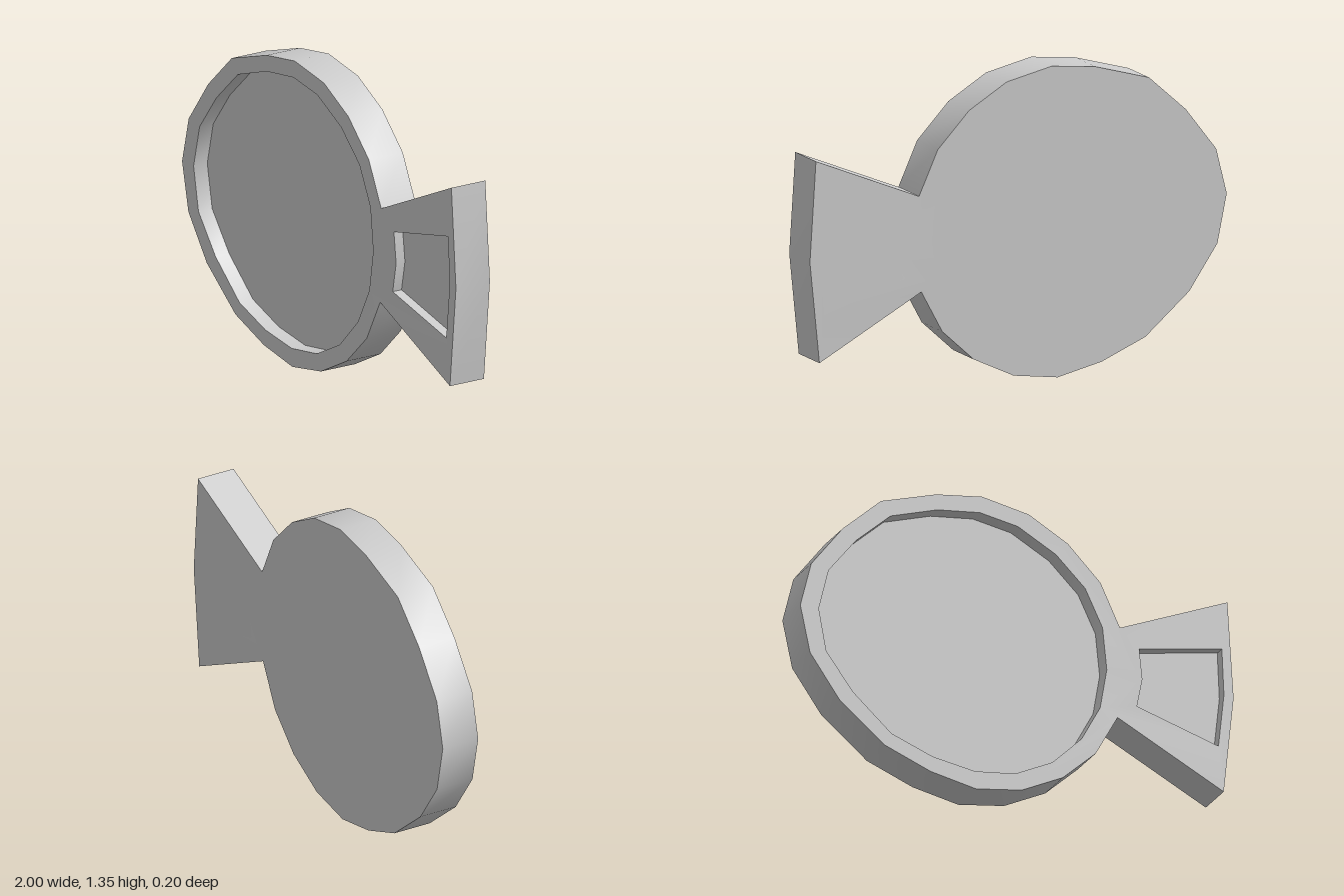
import * as THREE from 'three';
import { toCreasedNormals } from 'three/addons/utils/BufferGeometryUtils.js';

const BACK = -0.087, FRONT = 0.087;
const material = new THREE.MeshStandardMaterial({ color: 0xcccccc });

// Fish silhouette: rounded body, then the flared tail
const outline = [
  [0.47, 0.87], [0.38, 1.06], [0.23, 1.21], [0.05, 1.31], [-0.165, 1.35],
  [-0.375, 1.32], [-0.63, 1.24], [-0.805, 1.08], [-0.95, 0.89], [-1, 0.69],
  [-0.955, 0.48], [-0.82, 0.29], [-0.61, 0.12], [-0.4, 0.04], [-0.19, 0],
  [0.02, 0.035], [0.21, 0.13], [0.36, 0.27], [0.46, 0.455],
  [0.955, 0.215], [1, 0.655], [0.97, 1.09],
];
const bodyRecess = [
  [-0.175, 1.275], [-0.37, 1.25], [-0.585, 1.18], [-0.745, 1.035], [-0.87, 0.875],
  [-0.915, 0.69], [-0.88, 0.5], [-0.755, 0.335], [-0.58, 0.18], [-0.39, 0.11],
  [-0.195, 0.08], [-0.01, 0.105], [0.16, 0.19], [0.295, 0.325], [0.38, 0.485],
  [0.41, 0.665], [0.39, 0.855], [0.31, 1.02], [0.175, 1.15], [0, 1.245],
];
const tailRecess = [
  [0.56, 0.79], [0.575, 0.655], [0.55, 0.525], [0.93, 0.42], [0.955, 0.66], [0.945, 0.87],
];

const toPoints = (list) => list.map(([x, y]) => new THREE.Vector2(x, y));

// Slight lean of the body, bending back again along the tail
function bend(geometry) {
  const p = geometry.attributes.position;
  for (let i = 0; i < p.count; i++) {
    const x = p.getX(i), y = p.getY(i);
    const lean = 0.008 + (x < 0.465 ? 0.0148 : -0.012) * (x - 0.465) + 0.004 * (y - 0.67);
    p.setZ(i, p.getZ(i) + lean);
  }
  return toCreasedNormals(geometry, 0.52);
}

function addPart(group, name, geometry) {
  const mesh = new THREE.Mesh(bend(geometry), material);
  mesh.name = name;
  group.add(mesh);
}

// Flat sheet closing a recess at depth z, facing front or back
function sheet(points, z, facesBack) {
  const geometry = new THREE.ShapeGeometry(new THREE.Shape(toPoints(points)));
  if (facesBack) geometry.index.array.reverse();
  return geometry.translate(0, 0, z);
}

export function createModel() {
  const group = new THREE.Group();
  group.name = 'fishDish';

  // Rim and side walls, open where the two recesses are
  const shape = new THREE.Shape(toPoints(outline));
  for (const hole of [bodyRecess, tailRecess]) shape.holes.push(new THREE.Path(toPoints(hole)));
  const rim = new THREE.ExtrudeGeometry(shape, { depth: FRONT - BACK, bevelEnabled: false });
  addPart(group, 'rim', rim.translate(0, 0, BACK));

  // Recess floors and the matching back panels
  for (const [name, points, depth] of [['body', bodyRecess, 0.07], ['tail', tailRecess, 0.045]]) {
    addPart(group, name + 'Floor', sheet(points, FRONT - depth, false));
    addPart(group, name + 'Back', sheet(points, BACK, true));
  }
  return group;
}
